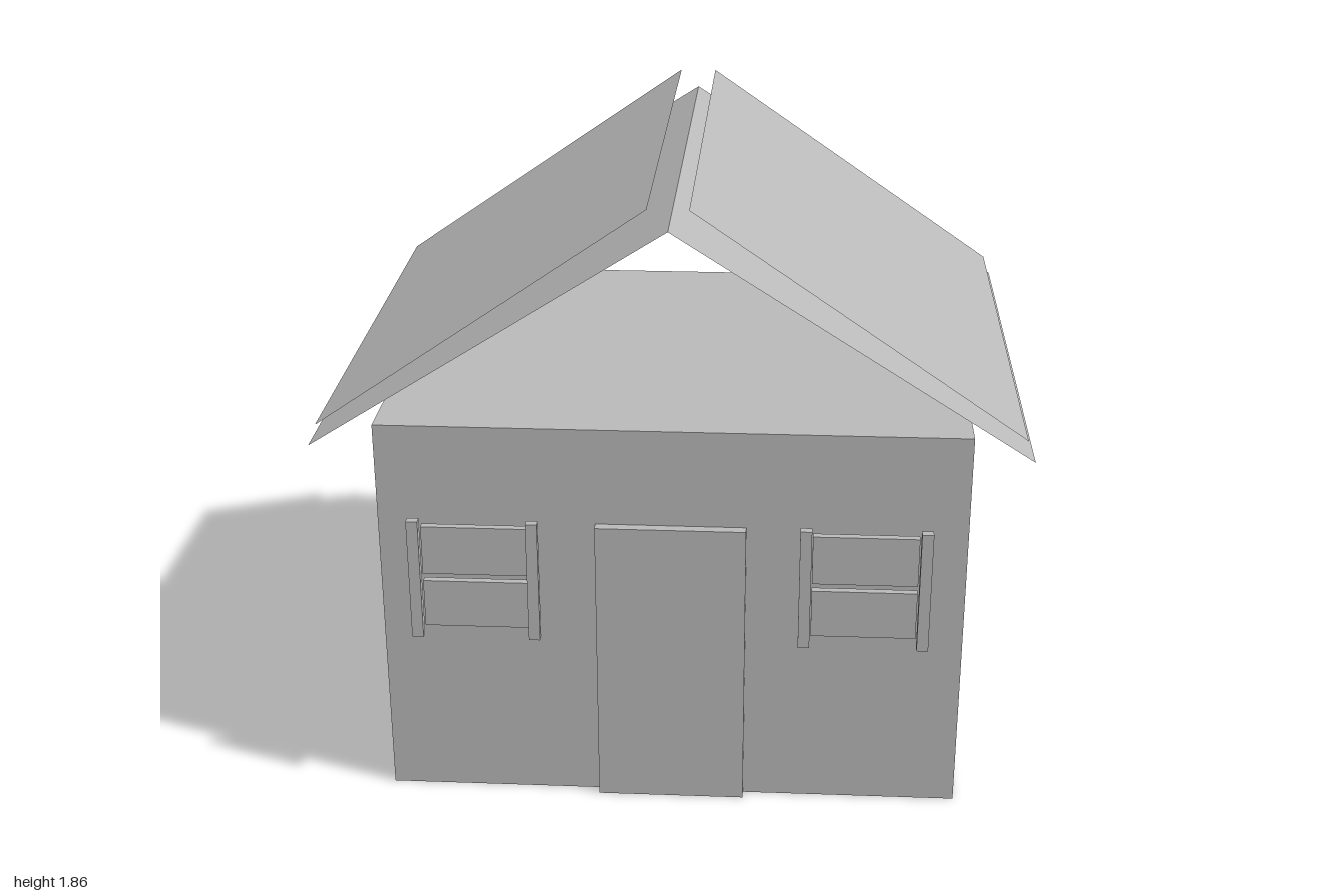
import * as THREE from 'three';

export function createModel() {
  const house = new THREE.Group();
  house.name = 'house';

  const grey = new THREE.MeshStandardMaterial({ color: 0xb8b8b8, side: THREE.DoubleSide });
  grey.name = 'plain grey';

  // Box given by its lower and upper corners
  const box = (name, parent, [x0, y0, z0], [x1, y1, z1]) => {
    const mesh = new THREE.Mesh(new THREE.BoxGeometry(x1 - x0, y1 - y0, z1 - z0), grey);
    mesh.position.set((x0 + x1) / 2, (y0 + y1) / 2, (z0 + z1) / 2);
    mesh.name = name;
    parent.add(mesh);
  };

  // Thin sloping sheet from eave to ridge, running along z
  const sheet = (name, eave, ridge, halfDepth) => {
    const dx = ridge[0] - eave[0];
    const dy = ridge[1] - eave[1];
    const geometry = new THREE.PlaneGeometry(Math.hypot(dx, dy), halfDepth * 2);
    geometry.rotateX(-Math.PI / 2);
    // Keep the outer face upward on both slopes
    geometry.rotateZ(Math.atan(dy / dx));
    const mesh = new THREE.Mesh(geometry, grey);
    mesh.position.set((eave[0] + ridge[0]) / 2, (eave[1] + ridge[1]) / 2, 0);
    mesh.name = name;
    house.add(mesh);
  };

  // Closed body and front door
  box('walls', house, [-0.843, 0, -0.68], [0.843, 1.18, 0.68]);
  box('door', house, [-0.217, 0, 0.68], [0.214, 0.888, 0.71]);

  // Open gabled roof: an under layer meeting at the ridge, a top layer with a gap
  for (const [side, s] of [['left', 1], ['right', -1]]) {
    sheet(side + 'RoofUnderlay', [s, 1.16], [0, 1.797], 0.785);
    sheet(side + 'RoofCover', [0.978 * s, 1.22], [0.056 * s, 1.855], 0.778);
  }

  // Windows: two panes between two upright posts, standing off the wall
  for (const [side, cx] of [['left', 0.553], ['right', -0.56]]) {
    const win = new THREE.Group();
    win.name = side + 'Window';
    win.position.x = cx;
    box('lowerPane', win, [-0.15, 0.577, 0.717], [0.15, 0.722, 0.739]);
    box('upperPane', win, [-0.15, 0.745, 0.717], [0.15, 0.894, 0.739]);
    box('leftPost', win, [0.153, 0.551, 0.739], [0.186, 0.921, 0.764]);
    box('rightPost', win, [-0.186, 0.551, 0.739], [-0.153, 0.921, 0.764]);
    house.add(win);
  }

  return house;
}
